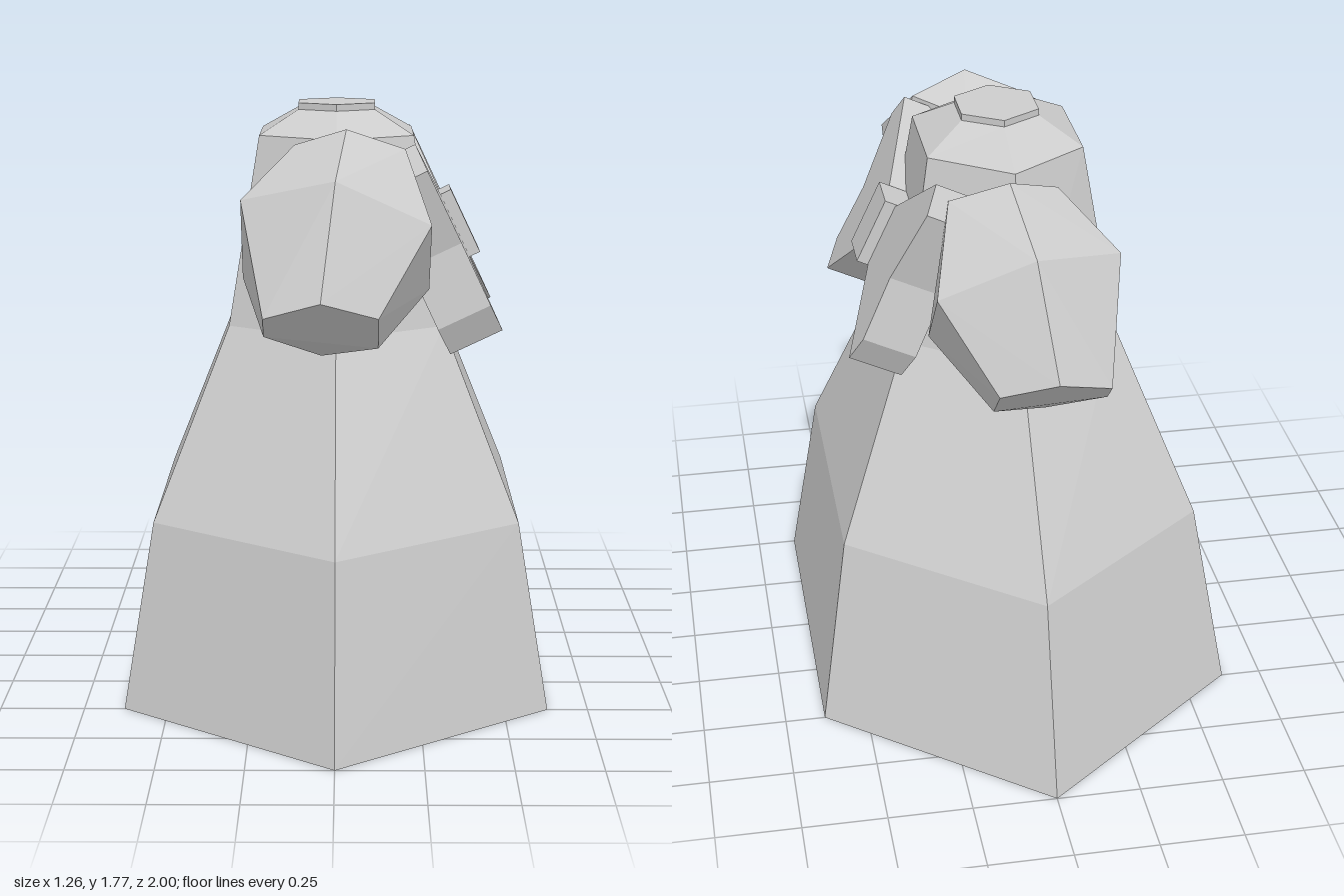
import * as THREE from 'three';
import { ConvexGeometry } from 'three/addons/geometries/ConvexGeometry.js';

// Six-sided shell lofted through rings of [y, half width, half depth, centre z]
function loftHex(rings) {
  const pos = [];
  const loops = rings.map(([y, w, d, c]) => [
    [0, y, c + d], [w, y, c + d / 2], [w, y, c - d / 2],
    [0, y, c - d], [-w, y, c - d / 2], [-w, y, c + d / 2],
  ]);
  const tri = (a, b, c) => pos.push(...a, ...b, ...c);
  for (let r = 0; r < loops.length - 1; r++) {
    const lo = loops[r], hi = loops[r + 1];
    for (let i = 0; i < 6; i++) {
      const j = (i + 1) % 6;
      tri(lo[i], lo[j], hi[j]);
      tri(lo[i], hi[j], hi[i]);
    }
  }
  const bottom = loops[0], top = loops[loops.length - 1];
  for (let i = 1; i < 5; i++) {
    tri(bottom[0], bottom[i + 1], bottom[i]);
    tri(top[0], top[i], top[i + 1]);
  }
  const g = new THREE.BufferGeometry();
  g.setAttribute('position', new THREE.Float32BufferAttribute(pos, 3));
  g.computeVertexNormals();
  return g;
}

// Faceted puff corners, for the one at the front
const puffCorners = [
  [0, 1.6, 0.7], [0.03, 1.72, 0.44], [-0.27, 1.53, 0.55], [0.27, 1.47, 0.64],
  [-0.2, 1.23, 0.79], [-0.04, 1.28, 0.84], [0.12, 1.23, 0.79],
  [-0.2, 1.17, 0.73], [-0.04, 1.1, 0.64], [0.12, 1.13, 0.69],
  [0.27, 1.26, 0.45], [-0.27, 1.29, 0.43], [-0.12, 1.67, 0.38], [0.2, 1.66, 0.4],
  [-0.12, 1.6, 0.28], [0.05, 1.62, 0.3], [0, 1.2, 0.4],
];

export function createModel() {
  const model = new THREE.Group();
  const grey = new THREE.MeshStandardMaterial({ color: 0xcccccc });
  grey.name = 'pale grey';
  const add = (parent, name, geometry) => {
    const mesh = new THREE.Mesh(geometry, grey);
    mesh.name = name;
    parent.add(mesh);
    return mesh;
  };

  // Flared body with sloping shoulders and a short flat neck
  add(model, 'body', loftHex([
    [0, 0.63, 1, 0], [0.56, 0.54, 0.845, 0.025], [1.12, 0.32, 0.46, 0.04],
    [1.68, 0.23, 0.315, 0.035], [1.75, 0.115, 0.14, 0.04], [1.77, 0.115, 0.14, 0.04],
  ]));

  // Puffs at the front and back, mirrored
  const front = puffCorners.map((p) => new THREE.Vector3(...p));
  const back = front.map((p) => new THREE.Vector3(p.x, p.y - 0.03, 0.08 - p.z));
  add(model, 'frontPuff', new ConvexGeometry(front));
  add(model, 'backPuff', new ConvexGeometry(back));

  // Bow lying on the left slope: local z points out of the slope
  const bow = new THREE.Group();
  bow.name = 'bow';
  bow.position.set(0.358, 1.4, 0.04);
  bow.rotation.set(-0.444, Math.PI / 2, 0, 'YXZ');
  model.add(bow);

  const lobe = [[0.07, 0.1], [0.33, 0.3], [0.38, 0.22], [0.32, -0.02],
    [0.345, -0.22], [0.3, -0.31], [0.07, -0.1]];
  const outline = [...lobe, ...lobe.map(([x, y]) => [-x, y]).reverse()];
  const loops = new THREE.ExtrudeGeometry(
    new THREE.Shape(outline.map(([x, y]) => new THREE.Vector2(x, y))),
    { depth: 0.17, bevelEnabled: false });
  add(bow, 'bowLoops', loops).position.z = -0.17;
  add(bow, 'bowKnot', new THREE.BoxGeometry(0.14, 0.21, 0.21)).position.z = -0.07;

  return model;
}
